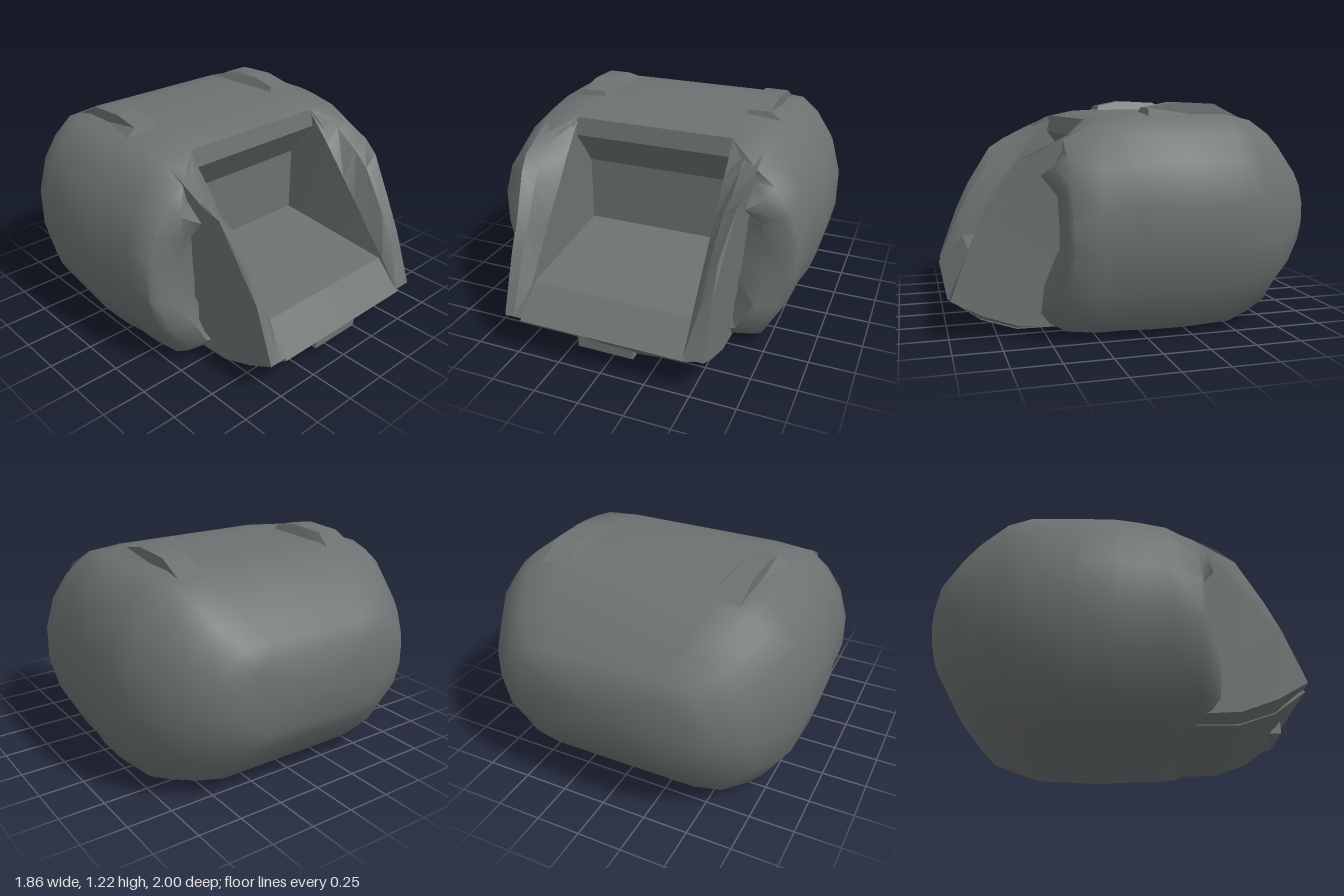
import * as THREE from 'three';
import { toCreasedNormals } from 'three/addons/utils/BufferGeometryUtils.js';

const { lerp, clamp, mapLinear } = THREE.MathUtils;
const CAVITY_X = 0.46;

// Half outline of the shell, as fractions of half width and height
const OUTLINE = [[0, 0], [0.59, 0], [0.81, 0.04], [0.94, 0.24], [1, 0.43], [1, 0.62],
  [0.94, 0.79], [0.84, 0.91], [0.73, 0.985], [0.51, 1], [0, 1]];

// Shell stations: z, half width, bottom, top
const STATIONS = [
  [-1, 0.48, 0.4, 0.8], [-0.95, 0.61, 0.31, 0.87], [-0.83, 0.74, 0.16, 0.98],
  [-0.74, 0.8, 0.07, 1.06], [-0.6, 0.88, 0.03, 1.14], [-0.47, 0.92, 0, 1.165],
  [-0.2, 0.93, 0, 1.165], [0, 0.925, 0, 1.165], [0.12, 0.9, 0, 1.16],
  [0.27, 0.895, 0, 1.13], [0.42, 0.88, 0.02, 1.05], [0.48, 0.84, 0.05, 0.99],
  [0.53, 0.73, 0.1, 0.93], [0.4, 0.72, 0.15, 0.9]];
const MOUTH = 9; // station where the roof stops above the cavity

function shellGeometry() {
  const right = OUTLINE.slice(1, -1).reverse().map(([x, y]) => [-x, y]);
  const ring = OUTLINE.concat(right);
  const n = ring.length;
  const pos = [];
  const idx = [];
  STATIONS.forEach((station, i) => {
    for (const [u, v] of ring) {
      const roof = v > 0.99;
      let [z, w, b, t] = roof && i > MOUTH ? STATIONS[MOUTH] : station;
      // The underside narrows towards the rear
      const rear = clamp((-z - 0.3) / 0.5, 0, 1);
      let x = u * w * (1 - rear * (v < 0.1 ? 0.12 : 0));
      // The front edge is set back at mid height and at the upper corners
      if (i > MOUTH + 1 && v > 0.4 && v < 0.8) z = lerp(0.42, z, 0.35);
      if (i > MOUTH + 1 && v > 0.98 && !roof) z = lerp(0.4, z, 0.25);
      if (i === STATIONS.length - 1 && !roof) x = Math.sign(u) * Math.min(Math.abs(x), 0.52);
      pos.push(x, b + v * (t - b), z);
    }
  });
  for (let i = 0; i < STATIONS.length - 1; i++) {
    for (let j = 0; j < n; j++) {
      const k = (j + 1) % n;
      const a = i * n + j, b = i * n + k, c = b + n, d = a + n;
      idx.push(a, b, c, a, c, d);
    }
  }
  // Flat rear cap
  const centre = pos.length / 3;
  pos.push(0, 0.6, -1);
  for (let j = 0; j < n; j++) idx.push(centre, (j + 1) % n, j);
  const g = new THREE.BufferGeometry();
  g.setAttribute('position', new THREE.Float32BufferAttribute(pos, 3));
  g.setIndex(idx);
  return toCreasedNormals(g, 1);
}

// Extrudes a (z, y) profile sideways; rule(t, y, z) gives [x, y, z] with t = 0, 0.5, 1 along +x
function sideways(profile, rule) {
  const shape = new THREE.Shape(profile.map(([z, y]) => new THREE.Vector2(z, y)));
  const g = new THREE.ExtrudeGeometry(shape, { depth: 1, bevelEnabled: false, steps: 2 });
  g.rotateY(-Math.PI / 2);
  const p = g.attributes.position;
  for (let i = 0; i < p.count; i++) {
    const t = Math.round((p.getX(i) + 1) * 2) / 2;
    p.setXYZ(i, ...rule(t, p.getY(i), p.getZ(i)));
  }
  g.deleteAttribute('uv');
  return toCreasedNormals(g, 0.5);
}

// Height of the straight inner rim of the cheeks
function rimHeight(z) {
  if (z < 0.27) return 1.13;
  if (z < 0.85) return mapLinear(z, 0.27, 0.85, 1.13, 0.4);
  return mapLinear(z, 0.85, 1, 0.4, 0.22);
}

export function createModel() {
  const model = new THREE.Group();
  const grey = new THREE.MeshStandardMaterial({ color: 0x6c7271 });
  grey.name = 'dark grey';
  const add = (name, geometry) => {
    const mesh = new THREE.Mesh(geometry, grey);
    mesh.name = name;
    model.add(mesh);
    return mesh;
  };

  add('shell', shellGeometry());

  // Cavity: lip, floor, back wall, sloping ceiling and brow; its underside dips in the middle
  const cavity = [[0.05, 0.01], [0.64, 0.004], [0.83, 0.035], [1, 0.21], [0.85, 0.37], [0.13, 0.44],
    [0.13, 0.82], [0.29, 1.03], [0.27, 1.13], [0.05, 1.13]];
  add('cavity', sideways(cavity, (t, y, z) => {
    const end = Math.abs(t * 2 - 1);
    const lift = end * (z > 0.8 && y < 0.1 ? 0.05 : z > 0.6 && y < 0.1 ? 0.015 : 0);
    return [(t * 2 - 1) * (CAVITY_X + 0.01), y + lift, z];
  }));

  // Cheeks: straight rim inside, bulging edge outside, lower front corner cut away
  const cheek = [[0.1, 0.02], [0.64, 0.02], [0.83, 0.085], [0.99, 0.22], [0.88, 0.52], [0.8, 0.69],
    [0.65, 0.92], [0.55, 0.98], [0.41, 1.05], [0.27, 1.11], [0.1, 1.06]];
  for (const side of [-1, 1]) {
    add(side > 0 ? 'leftCheek' : 'rightCheek', sideways(cheek, (t, y, z) => {
      const out = side > 0 ? t : 1 - t;
      let outerX = z < 0.6 ? 0.64 : z < 0.7 ? 0.61 : 0.57;
      let outerY = y;
      if (y < 0.1) {
        outerX = 0.56;
        outerY = z > 0.8 ? 0.13 : z > 0.6 ? 0.06 : 0.03;
      }
      const rise = out === 0.5 ? 0.75 : out;
      return [side * lerp(CAVITY_X, outerX, out), lerp(Math.min(y, rimHeight(z)), outerY, rise), z];
    }));

    // Low bumps on the roof, steep in front, fading outwards and to the rear
    const bump = [[-0.62, 1.11], [-0.03, 1.14], [-0.05, 1.19], [-0.2, 1.22], [-0.42, 1.21]];
    add(side > 0 ? 'leftBump' : 'rightBump', sideways(bump, (t, y, z) => {
      const out = side > 0 ? t : 1 - t;
      let x = lerp(0.42, 0.66, out);
      if (y > 1.18) x = lerp(0.45, 0.58, out);
      else if (z < -0.5) x = lerp(0.38, 0.58, out);
      return [side * x, y, z];
    }));
  }

  // Small block under the lip
  const chin = add('chin', new THREE.BoxGeometry(0.32, 0.11, 0.14));
  chin.position.set(0, 0.14, 0.86);

  return model;
}
